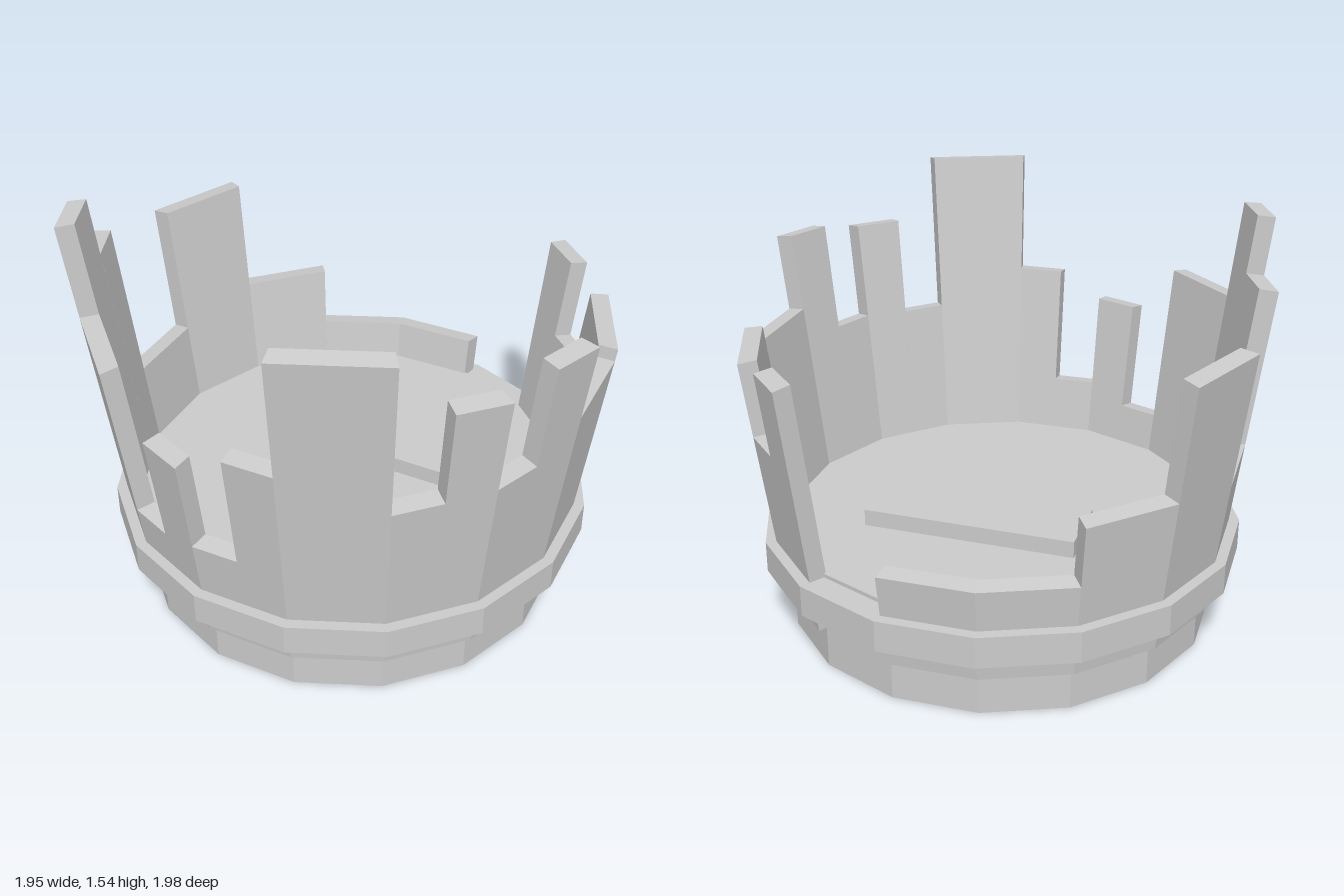
import * as THREE from 'three';

const SIDES = 16;
const BOTTOM = 0.16, THICK = 0.07;
const outerRadius = (y) => 0.853 + 0.127 * (y - BOTTOM);

// Point on the polygon of the given radius; t counts sides from +z towards +x
function ringPoint(t, r, y) {
  const k = Math.floor(t), f = t - k, step = (Math.PI * 2) / SIDES;
  const a = k * step, b = a + step;
  return [
    r * (Math.sin(a) * (1 - f) + Math.sin(b) * f), y,
    r * (Math.cos(a) * (1 - f) + Math.cos(b) * f),
  ];
}

// Unshared vertices give crisp flat facets
function faceted(geometry) {
  const g = geometry.index ? geometry.toNonIndexed() : geometry;
  g.computeVertexNormals();
  return g;
}

// One outward leaning stave between ring positions t0 and t1
function staveGeometry(t0, t1, top) {
  const eps = 1e-6; // keeps the end on its own side of the polygon
  const corners = [];
  for (const [y, lift] of [[BOTTOM, 0], [top, 0.01]]) {
    const r = outerRadius(y);
    corners.push(
      ringPoint(t0, r, y), ringPoint(t1 - eps, r, y),
      ringPoint(t1 - eps, r - THICK, y + lift), ringPoint(t0, r - THICK, y + lift),
    );
  }
  const g = new THREE.BufferGeometry();
  g.setAttribute('position', new THREE.Float32BufferAttribute(corners.flat(), 3));
  const index = [3, 2, 1, 3, 1, 0, 4, 5, 6, 4, 6, 7];
  for (let i = 0; i < 4; i++) {
    const j = (i + 1) % 4;
    index.push(i, j, j + 4, i, j + 4, i + 4);
  }
  g.setIndex(index);
  return faceted(g);
}

export function createModel() {
  const model = new THREE.Group();
  model.name = 'brokenBarrel';
  const grey = new THREE.MeshStandardMaterial({ color: 0xcccccc });
  grey.name = 'grey';

  const add = (name, geometry, parent = model) => {
    const mesh = new THREE.Mesh(geometry, grey);
    mesh.name = name;
    parent.add(mesh);
    return mesh;
  };

  // Solid base whose top is the inner floor
  add('base', faceted(new THREE.CylinderGeometry(0.82, 0.82, 0.385, SIDES))).position.y = 0.1925;

  // Hoop around the staves
  const hoop = [[0.82, 0.25], [0.92, 0.25], [0.92, 0.37], [0.82, 0.37], [0.82, 0.25]]
    .map(([x, y]) => new THREE.Vector2(x, y));
  add('hoop', faceted(new THREE.LatheGeometry(hoop, SIDES)));

  // Broken stave heights; a pair is a stave split in two, an empty entry is missing
  const heights = [
    [0.92, 1.335], [1.04], [1.09], [0.805, 1.125], [], [0.53], [0.53], [0.765],
    [1.2], [0.69], [1.295, 1.515], [1.15], [0.53, 0.96], [0.59, 1.06], [1.53], [0.91, 1.295],
  ];
  const staves = new THREE.Group();
  staves.name = 'staves';
  model.add(staves);
  heights.forEach((parts, k) => parts.forEach((top, i) => {
    const w = 1 / parts.length;
    add('stave', staveGeometry(k + i * w, k + (i + 1) * w, top), staves);
  }));

  // Loose board lying on the floor
  const board = add('looseBoard', new THREE.BoxGeometry(0.27, 0.07, 0.82));
  board.position.set(0.165, 0.415, -0.065);
  board.rotation.y = 0.568;

  return model;
}
